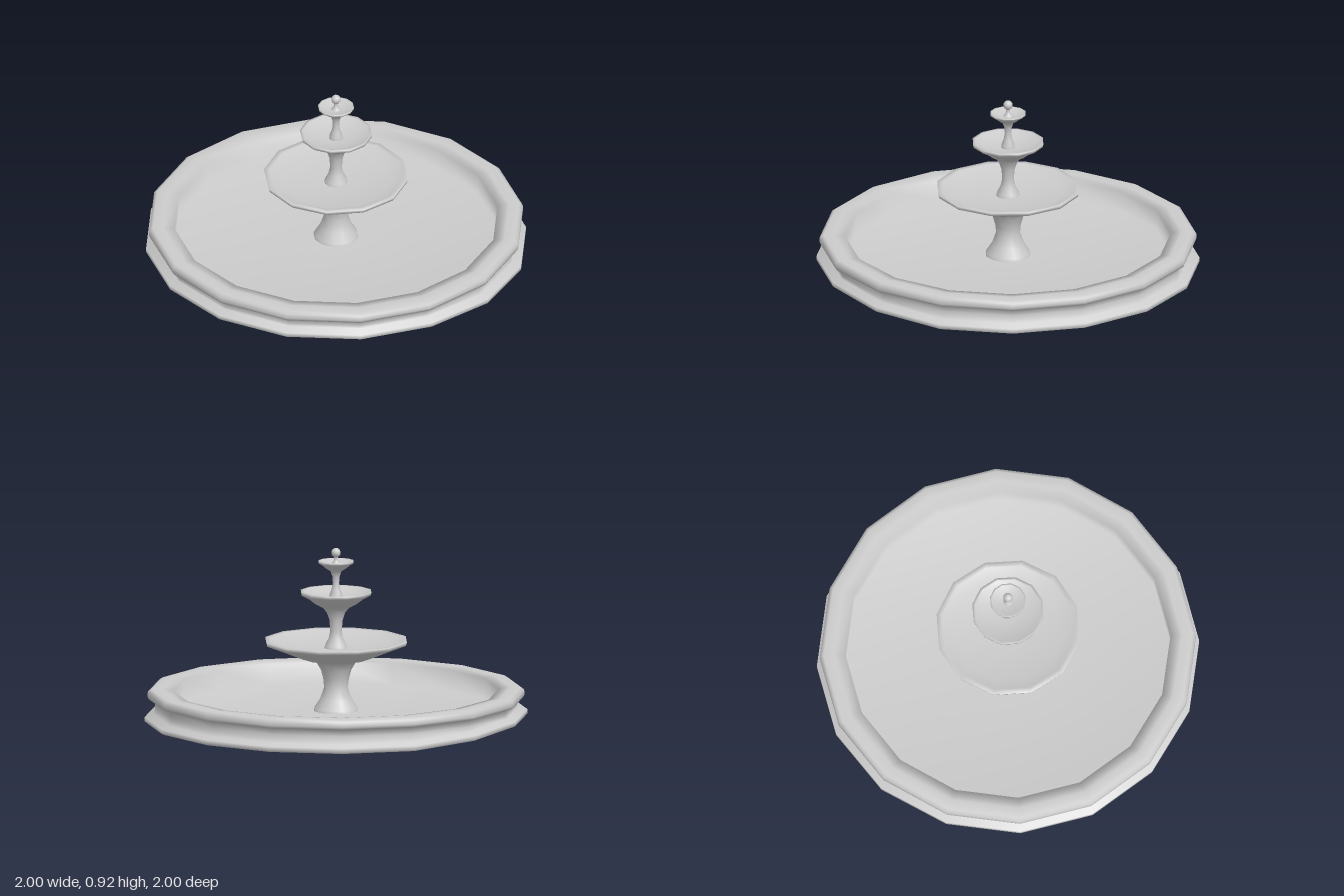
import * as THREE from 'three';

const material = new THREE.MeshStandardMaterial({ color: 0xcccccc, side: THREE.DoubleSide });

// Revolves a [radius, height] profile with smooth normals
function turned(name, profile, sides) {
  const points = profile.map(([r, y]) => new THREE.Vector2(r, y));
  const mesh = new THREE.Mesh(new THREE.LatheGeometry(points, sides), material);
  mesh.name = name;
  return mesh;
}

// Raises the front and lowers the back of the basin's foot
function slantFoot(geometry) {
  const p = geometry.attributes.position;
  for (let i = 0; i < p.count; i++) {
    const radius = Math.hypot(p.getX(i), p.getZ(i));
    if (radius < 0.9 || p.getY(i) > 0.06) continue;
    p.setY(i, p.getY(i) + 0.015 * THREE.MathUtils.clamp(p.getZ(i) / 0.38, -1, 1));
  }
}

export function createModel() {
  const fountain = new THREE.Group();
  fountain.name = 'fountain';

  // Basin: a hollow shell, open below, from the foot over the rim to the floor
  const basin = turned('basin', [
    [0.95, 0.017], [0.985, 0.015], [1, 0.022], [1, 0.045], [0.95, 0.058],
    [0.945, 0.085], [0.945, 0.118], [0.98, 0.126], [0.985, 0.14],
    [0.983, 0.165], [0.965, 0.176], [0.91, 0.177], [0.85, 0.168],
    [0.85, 0.06], [0.12, 0.06], [0, 0.06],
  ], 16);
  slantFoot(basin.geometry);
  fountain.add(basin);

  // Three tiers, each a flared stem opening into a shallow bowl
  fountain.add(turned('lowerTier', [
    [0.12, 0.054], [0.115, 0.075], [0.085, 0.12], [0.064, 0.18], [0.069, 0.23],
    [0.083, 0.28], [0.108, 0.322], [0.18, 0.337], [0.28, 0.378], [0.375, 0.415],
    [0.38, 0.434], [0.35, 0.433], [0.29, 0.406], [0.12, 0.392], [0, 0.39],
  ], 12));
  fountain.add(turned('middleTier', [
    [0.062, 0.39], [0.058, 0.405], [0.04, 0.44], [0.031, 0.48], [0.036, 0.54],
    [0.05, 0.58], [0.07, 0.605], [0.11, 0.626], [0.145, 0.653], [0.187, 0.676],
    [0.19, 0.692], [0.175, 0.692], [0.135, 0.671], [0.06, 0.66], [0, 0.658],
  ], 12));
  fountain.add(turned('upperTier', [
    [0.036, 0.656], [0.034, 0.675], [0.024, 0.7], [0.017, 0.735], [0.02, 0.77],
    [0.03, 0.798], [0.055, 0.814], [0.075, 0.831], [0.094, 0.842],
    [0.095, 0.852], [0.086, 0.852], [0.05, 0.837], [0, 0.834],
  ], 12));

  // Finial: short neck and ball
  fountain.add(turned('finialNeck', [
    [0.026, 0.834], [0.013, 0.85], [0.009, 0.865], [0.012, 0.882],
  ], 12));
  const ball = new THREE.Mesh(new THREE.SphereGeometry(0.025, 12, 8), material);
  ball.name = 'finialBall';
  ball.position.y = 0.895;
  fountain.add(ball);

  return fountain;
}
